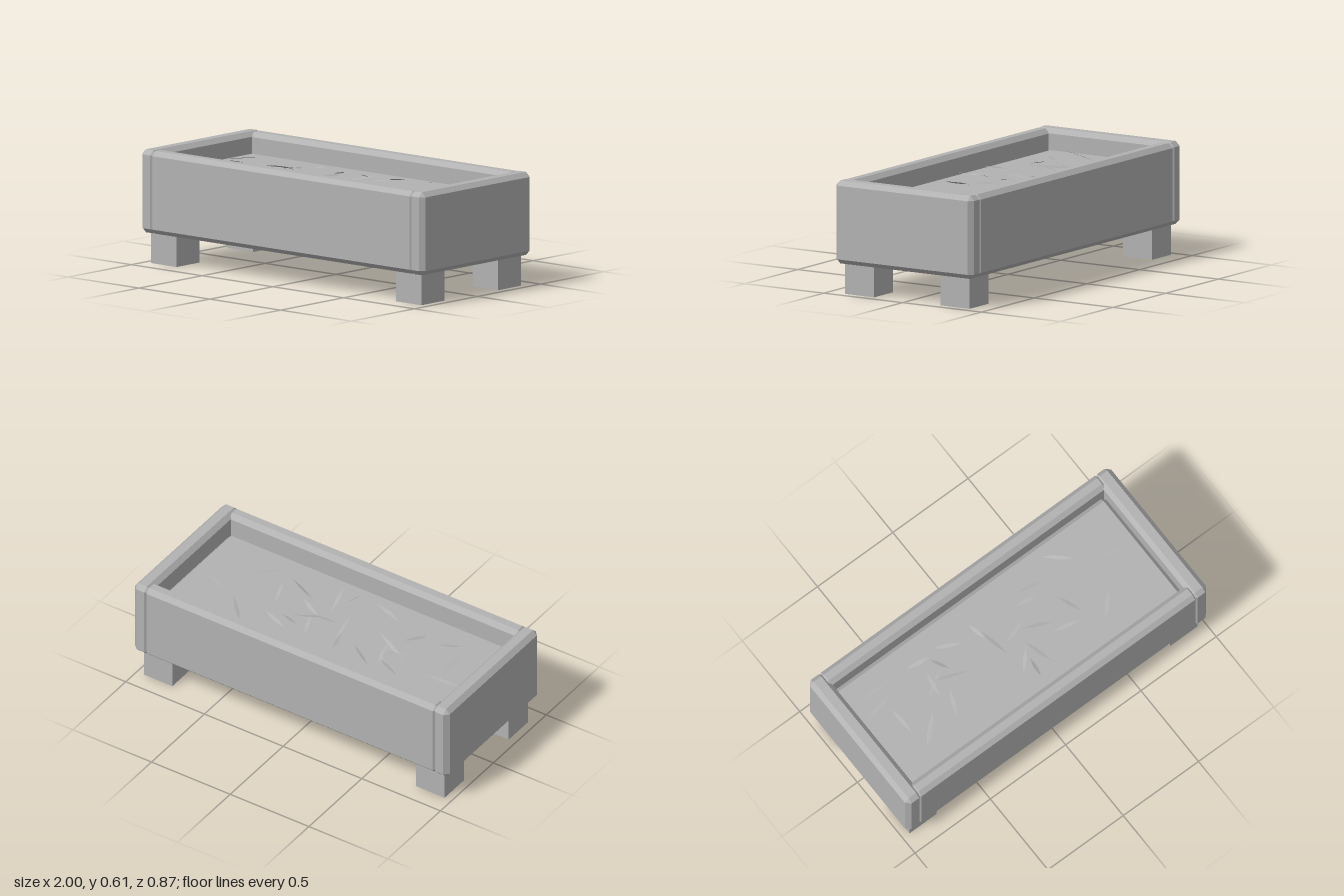
import * as THREE from 'three';
import { ConvexGeometry } from 'three/addons/geometries/ConvexGeometry.js';

const BEVEL = 0.025;

// Box between two corners with every edge chamfered
function bevelBox(x0, x1, y0, y1, z0, z1) {
  const half = [(x1 - x0) / 2, (y1 - y0) / 2, (z1 - z0) / 2];
  const points = [];
  for (let full = 0; full < 3; full++)
    for (const sx of [-1, 1]) for (const sy of [-1, 1]) for (const sz of [-1, 1]) {
      const p = [sx, sy, sz].map((s, i) => s * (half[i] - (i === full ? 0 : BEVEL)));
      points.push(new THREE.Vector3(...p));
    }
  return new ConvexGeometry(points).translate((x0 + x1) / 2, (y0 + y1) / 2, (z0 + z1) / 2);
}

// Slender pointed leaf from a to b, folded slightly along its length and rolled sideways
function bladeGeometry(a, b, roll) {
  const dir = b.clone().sub(a);
  const side = new THREE.Vector3(-dir.z, 0, dir.x).normalize()
    .multiplyScalar(0.013 * Math.cos(roll));
  side.y = 0.013 * Math.sin(roll);
  const at = (t, s) => a.clone().addScaledVector(dir, t).addScaledVector(side, s);
  const outline = [at(0, 0), at(0.35, 0.8), at(0.6, 0.8), at(1, 0), at(0.6, -0.8), at(0.35, -0.8)];
  const geometry = new THREE.BufferGeometry().setFromPoints(outline);
  geometry.setIndex([0, 1, 5, 1, 2, 5, 2, 4, 5, 2, 3, 4]);
  const flat = geometry.toNonIndexed();
  flat.computeVertexNormals();
  return flat;
}

// Blade ends seen from above, in hundredths: x, z, x, z
const BLADES = [
  [-84, -21, -62, -20], [-86, -10, -65, -14], [-72, -7, -72, 11], [-70, 21, -55, 7],
  [-68, 20, -57, 11], [-52, -20, -39, -17], [-39, -17, -34, -6], [-34, -21, -20, -13],
  [-47, 17, -41, 3], [-53, 0, -38, -9], [-45, -12, -48, 3], [-49, -8, -26, 2],
  [-51, -1, -37, -8], [-35, -10, -35, 4], [-28, 19, -11, 22], [-11, -20, -9, -8],
  [-8, -13, -5, 6], [8, -18, 12, -6], [16, -13, 27, -11], [20, -19, 35, -15],
  [43, -27, 55, -15], [62, -10, 82, -3], [36, -4, 41, 11], [22, 10, 38, 15],
  [11, -1, 25, 6], [-1, 0, 13, -4], [6, 1, 20, -11], [-4, 19, 5, 9],
  [2, 26, 3, 15], [7, 6, 11, 24], [48, 22, 60, 9],
];

export function createModel() {
  const model = new THREE.Group();
  model.name = 'planter';
  const grey = new THREE.MeshStandardMaterial({ color: 0xb2b2b2, side: THREE.DoubleSide });
  grey.name = 'plain grey';

  const add = (name, geometry, parent = model) => {
    const mesh = new THREE.Mesh(geometry, grey);
    mesh.name = name;
    parent.add(mesh);
  };

  // Soil block, reaching a little below the walls
  const soilTop = 0.5;
  add('soilBlock', bevelBox(-0.905, 0.905, 0.15, soilTop, -0.345, 0.345));

  // Walls
  add('leftWall', bevelBox(0.9, 1, 0.165, 0.61, -0.437, 0.437));
  add('rightWall', bevelBox(-1, -0.9, 0.165, 0.61, -0.437, 0.437));
  add('frontWall', bevelBox(-0.933, 0.933, 0.165, 0.608, 0.345, 0.437));
  add('backWall', bevelBox(-0.933, 0.933, 0.165, 0.608, -0.437, -0.345));

  // Feet
  for (const sx of [-1, 1]) for (const sz of [-1, 1]) {
    const name = (sz > 0 ? 'front' : 'back') + (sx > 0 ? 'Left' : 'Right') + 'Foot';
    add(name, new THREE.BoxGeometry(0.18, 0.2, 0.183).translate(sx * 0.865, 0.1, sz * 0.303));
  }

  // Loose leaves scattered over the soil
  const leaves = new THREE.Group();
  leaves.name = 'leaves';
  model.add(leaves);
  BLADES.forEach(([x0, z0, x1, z1], i) => {
    const rise = 0.015 + 0.01 * (i % 3);
    const a = new THREE.Vector3(x0 / 100, soilTop + 0.006, z0 / 100);
    const b = new THREE.Vector3(x1 / 100, soilTop + 0.006 + rise, z1 / 100);
    add('leaf', bladeGeometry(a, b, 0.4 * Math.sin(i * 2.4)), leaves);
  });

  return model;
}
